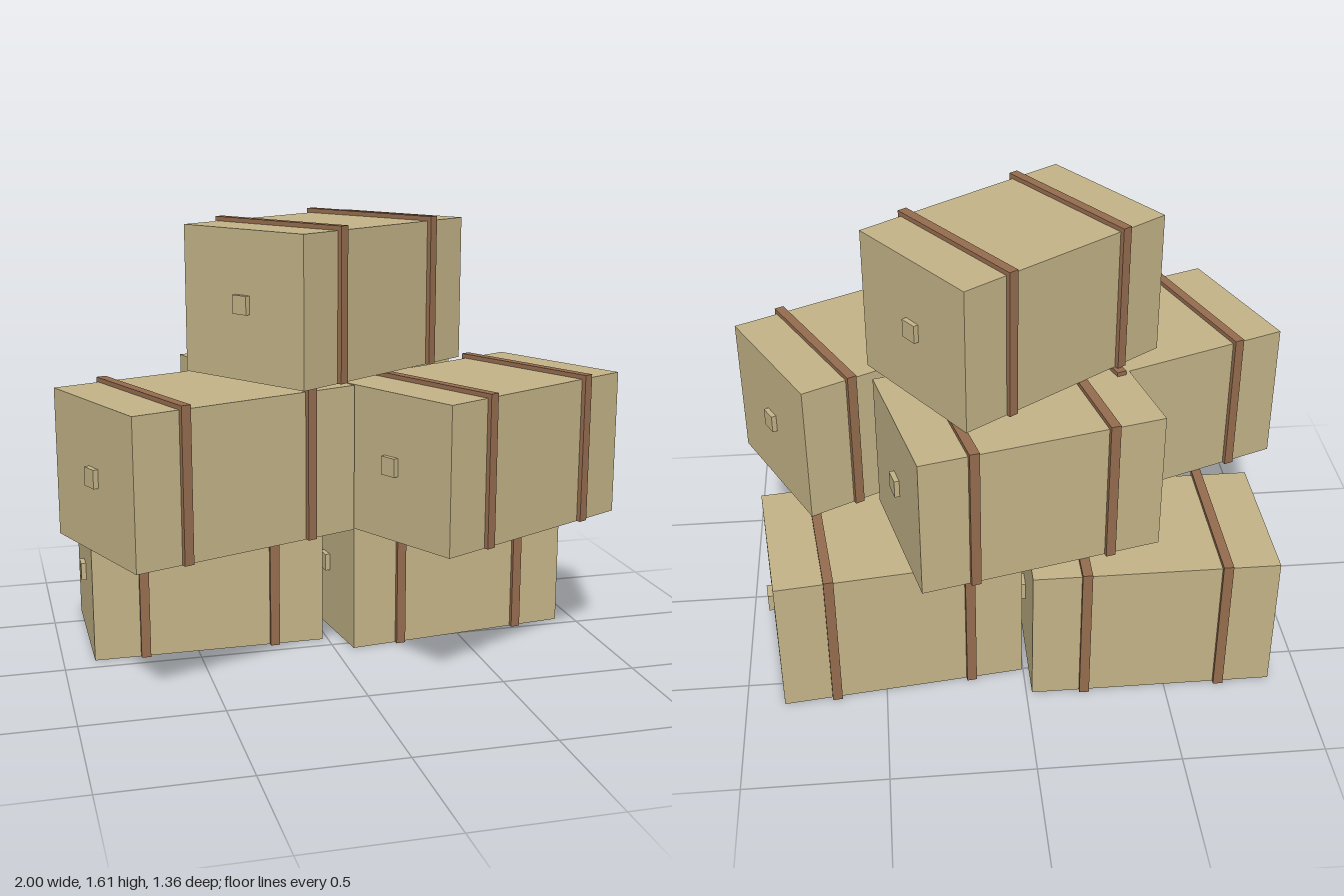
import * as THREE from 'three';

const W = 0.865, H = 0.52, D = 0.563; // chest body
const T = 0.016;                      // strap thickness
const LEVEL = 0.537;                  // height of one layer of chests

const tan = new THREE.MeshStandardMaterial({ color: 0xc2b286 });
const brown = new THREE.MeshStandardMaterial({ color: 0x946c4e });

function addBox(parent, name, material, size, position) {
  const mesh = new THREE.Mesh(new THREE.BoxGeometry(...size), material);
  mesh.name = name;
  mesh.position.set(...position);
  parent.add(mesh);
}

// One chest: body, two straps over front, top and back, a handle on each end
function createChest() {
  const chest = new THREE.Group();
  addBox(chest, 'body', tan, [W, H, D], [0, H / 2, 0]);
  for (const side of [-1, 1]) {
    const x = side * 0.245;
    addBox(chest, 'strapTop', brown, [0.035, T, D + 2 * T], [x, H + T / 2, 0]);
    for (const face of [-1, 1]) {
      addBox(chest, 'strapSide', brown, [0.035, H, T], [x, H / 2, face * (D + T) / 2]);
    }
    addBox(chest, 'handle', tan, [0.018, 0.065, 0.065], [side * (W / 2 + 0.009), 0.264, 0]);
  }
  return chest;
}

export function createModel() {
  const model = new THREE.Group();
  model.name = 'chestPile';

  // name, x, z, layer, turn about y
  const chests = [
    ['bottomLeftChest', -0.453, -0.347, 0, 0],
    ['bottomRightChest', 0.468, -0.277, 0, 0.117],
    ['middleLeftChest', -0.496, 0.168, 1, 0.364],
    ['middleBackChest', 0.007, -0.31, 1, 0.239],
    ['middleRightChest', 0.482, 0.231, 1, 0.474],
    ['topChest', -0.006, -0.058, 2, 0.599],
  ];
  for (const [name, x, z, layer, turn] of chests) {
    const chest = createChest();
    chest.name = name;
    chest.position.set(x, layer * LEVEL, z);
    chest.rotation.y = turn;
    model.add(chest);
  }
  return model;
}
